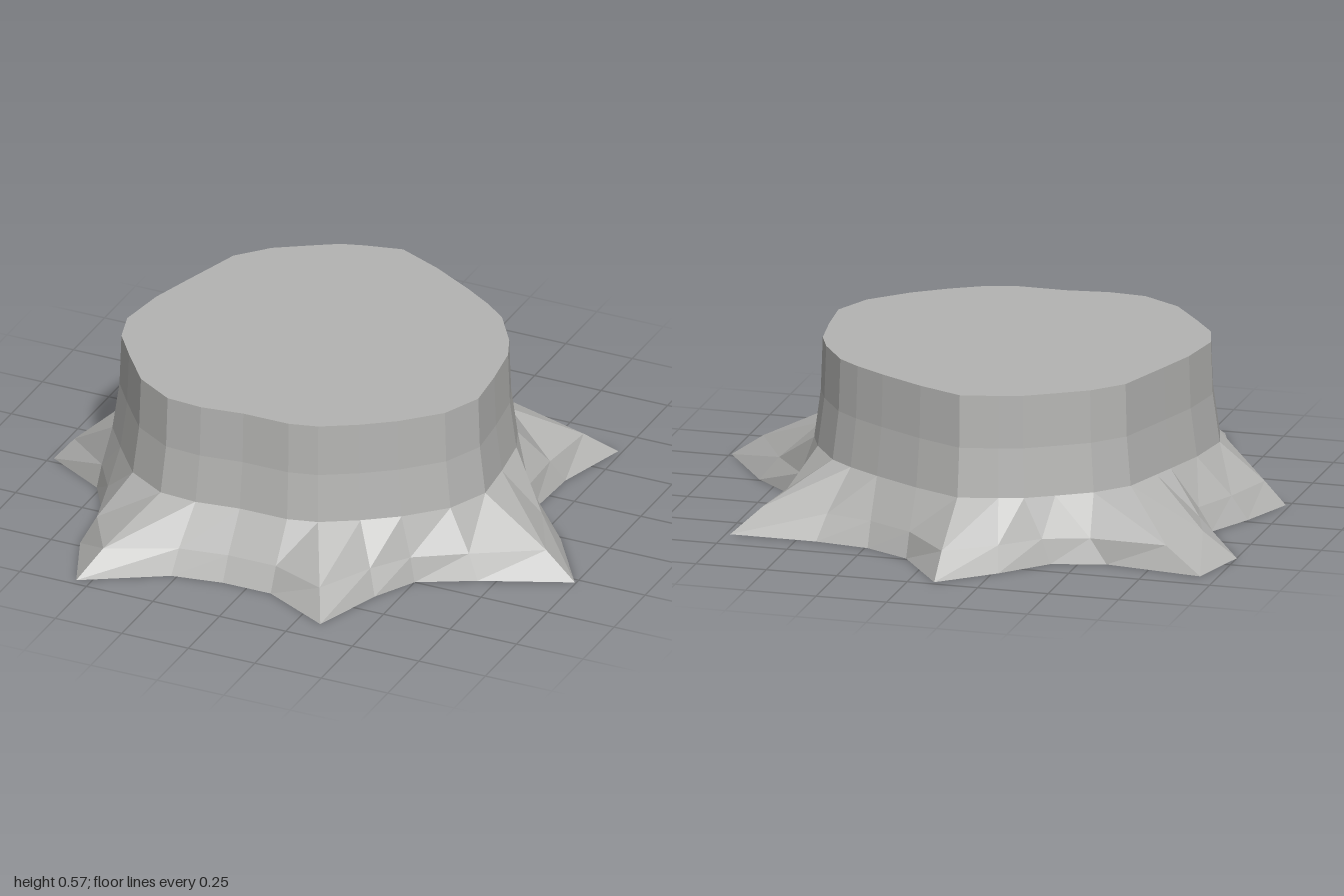
import * as THREE from 'three';

// Root outline on the ground, [x, z], starting at the back and running towards +x
const ground = [
  [-0.09, -0.98], [0.08, -0.74], [0.24, -0.66], [0.43, -0.635], [0.735, -0.635],
  [0.66, -0.37], [0.65, -0.145], [0.82, 0.01], [0.995, 0.27], [0.69, 0.4],
  [0.5, 0.5], [0.42, 0.65], [0.335, 0.905], [0.09, 0.78], [-0.09, 0.78],
  [-0.27, 0.81], [-0.55, 0.975], [-0.65, 0.73], [-0.68, 0.49], [-0.765, 0.35],
  [-0.985, 0.225], [-0.91, 0.02], [-0.83, -0.145], [-0.89, -0.255], [-1, -0.42],
  [-0.94, -0.66], [-0.595, -0.615], [-0.41, -0.665], [-0.27, -0.82],
];
// Cut outline at the top, matching the roots point by point
const cut = [
  [-0.09, -0.67], [0.07, -0.6], [0.23, -0.51], [0.34, -0.44], [0.42, -0.375],
  [0.51, -0.24], [0.55, -0.145], [0.575, 0.02], [0.59, 0.18], [0.53, 0.32],
  [0.41, 0.44], [0.3, 0.52], [0.18, 0.59], [0.08, 0.615], [-0.09, 0.615],
  [-0.24, 0.635], [-0.37, 0.625], [-0.51, 0.54], [-0.62, 0.4], [-0.7, 0.29],
  [-0.735, 0.17], [-0.71, -0.01], [-0.665, -0.16], [-0.64, -0.24], [-0.595, -0.385],
  [-0.5, -0.49], [-0.39, -0.56], [-0.3, -0.615], [-0.22, -0.64],
];
const CENTRE = -0.08;

const ringAt = (outline, y) => outline.map(([x, z]) => [x, y, z]);
const widen = (outline, s) => outline.map(([x, z]) => [CENTRE + (x - CENTRE) * s, z * s]);
const blend = (a, b, t) => a.map(([x, z], i) => [x + (b[i][0] - x) * t, z + (b[i][1] - z) * t]);

function facets(triangles) {
  const g = new THREE.BufferGeometry();
  g.setAttribute('position', new THREE.Float32BufferAttribute(triangles.flat(2), 3));
  g.computeVertexNormals();
  return g;
}

// Skin between successive rings, listed from the bottom up
function skin(rings) {
  const tris = [];
  for (let r = 0; r < rings.length - 1; r++) {
    const lo = rings[r], hi = rings[r + 1];
    for (let i = 0; i < lo.length; i++) {
      const j = (i + 1) % lo.length;
      tris.push([lo[j], lo[i], hi[i]], [lo[j], hi[i], hi[j]]);
    }
  }
  return facets(tris);
}

export function createModel() {
  const group = new THREE.Group();
  group.name = 'treeStump';
  const grey = new THREE.MeshStandardMaterial({ color: 0xb4b4b2 });
  grey.name = 'stumpGrey';
  grey.side = THREE.DoubleSide;
  grey.flatShading = true;

  const add = (name, geometry) => {
    const mesh = new THREE.Mesh(geometry, grey);
    mesh.name = name;
    group.add(mesh);
  };

  const collar = widen(cut, 1.045);
  const collarRing = ringAt(collar, 0.22);
  const topRing = ringAt(cut, 0.575);

  // Flared roots, open underneath
  add('roots', skin([ringAt(ground, 0), ringAt(blend(collar, ground, 0.68), 0.085), collarRing]));
  // Trunk wall
  add('trunk', skin([collarRing, ringAt(widen(cut, 1.01), 0.39), topRing]));
  // Flat cut face
  const middle = [CENTRE, 0.575, 0];
  add('cutTop', facets(topRing.map((p, i) => [middle, topRing[(i + 1) % topRing.length], p])));

  return group;
}
